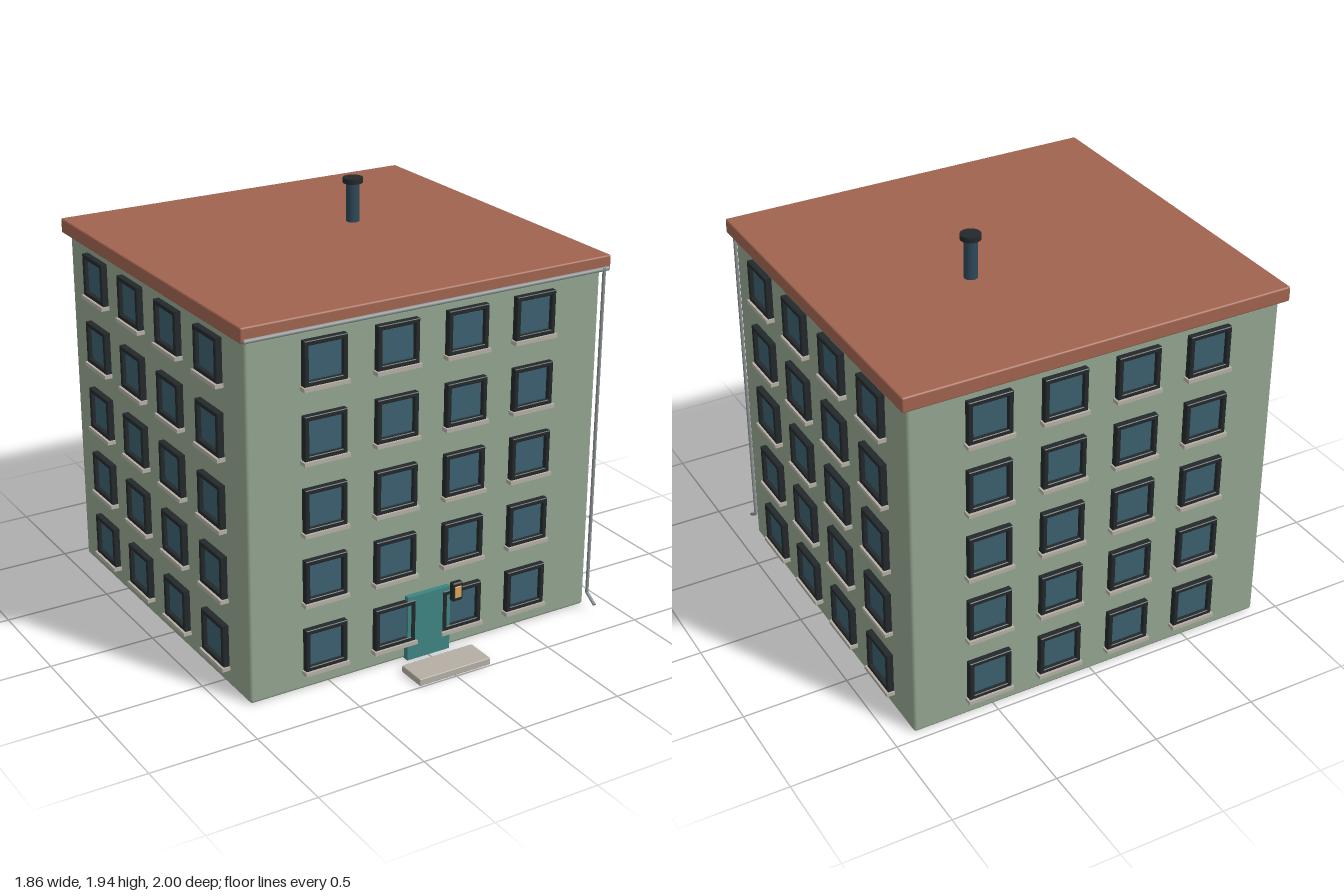
import * as THREE from 'three';
import { RoundedBoxGeometry } from 'three/addons/geometries/RoundedBoxGeometry.js';

const mat = (color, extra = {}) => new THREE.MeshStandardMaterial({ color, ...extra });
const M = {
  wall: mat(0x93a58f),
  roof: mat(0xa0634f),
  frame: mat(0x23282a),
  glass: mat(0x3b5f6e),
  sill: mat(0xb4aea4),
  door: mat(0x3d8482),
  chimney: mat(0x2f4858),
  pipe: mat(0x8c9292),
  lamp: mat(0xd8a55a),
};

function add(parent, name, geometry, material, x = 0, y = 0, z = 0) {
  const mesh = new THREE.Mesh(geometry, material);
  mesh.name = name;
  mesh.position.set(x, y, z);
  parent.add(mesh);
  return mesh;
}

const rect = (target, w, h) => {
  target.moveTo(-w, -h);
  target.lineTo(w, -h);
  target.lineTo(w, h);
  target.lineTo(-w, h);
  target.closePath();
  return target;
};

// Square window ring with slightly bevelled edges, back on z = 0
function frameGeometry() {
  const shape = rect(new THREE.Shape(), 0.1, 0.097);
  shape.holes.push(rect(new THREE.Path(), 0.085, 0.082));
  return new THREE.ExtrudeGeometry(shape, {
    depth: 0.027, bevelEnabled: true, bevelThickness: 0.003, bevelSize: 0.003, bevelSegments: 1,
  });
}

export function createModel() {
  const model = new THREE.Group();
  model.name = 'apartmentBlock';

  // Wall planes of the building
  const halfX = 0.893, front = 0.747, back = -0.957;
  const midZ = (front + back) / 2, depth = front - back;

  add(model, 'walls', new RoundedBoxGeometry(halfX * 2, 1.66, depth, 3, 0.015), M.wall, 0, 0.83, midZ);
  add(model, 'roof', new RoundedBoxGeometry(1.85, 0.07, 1.766, 2, 0.008), M.roof, 0, 1.697, midZ);

  // One window: frame, recessed pane with raised centre, sill
  const frameGeo = frameGeometry();
  const paneGeo = new THREE.BoxGeometry(0.175, 0.17, 0.01);
  const glassGeo = new RoundedBoxGeometry(0.156, 0.151, 0.012, 1, 0.003);
  const sillGeo = new THREE.BoxGeometry(0.222, 0.018, 0.04);
  function makeWindow(x, y) {
    const win = new THREE.Group();
    win.name = 'window';
    win.position.set(x, y, 0);
    add(win, 'windowFrame', frameGeo, M.frame);
    add(win, 'windowPane', paneGeo, M.glass, 0, 0, 0.005);
    add(win, 'windowGlass', glassGeo, M.glass, 0, 0, 0.008);
    add(win, 'windowSill', sillGeo, M.sill, 0, -0.109, 0.019);
    return win;
  }

  // Five floors of four windows on each facade
  const facades = [
    ['frontWindows', 0, 0, front, 0.353],
    ['backWindows', Math.PI, 0, back, 0.353],
    ['leftWindows', Math.PI / 2, halfX, midZ, 0.371],
    ['rightWindows', -Math.PI / 2, -halfX, midZ, 0.371],
  ];
  for (const [name, turn, x, z, spacing] of facades) {
    const facade = new THREE.Group();
    facade.name = name;
    facade.position.set(x, 0, z);
    facade.rotation.y = turn;
    for (let floor = 0; floor < 5; floor++)
      for (let col = 0; col < 4; col++)
        facade.add(makeWindow((col - 1.5) * spacing, 0.195 + floor * 0.331));
    model.add(facade);
  }

  // Entrance: door, detached step and lamp
  add(model, 'door', new THREE.BoxGeometry(0.225, 0.315, 0.03), M.door, 0, 0.1575, 0.759);
  add(model, 'doorStep', new RoundedBoxGeometry(0.374, 0.033, 0.147, 1, 0.004), M.sill, 0, 0.0165, 0.918);
  const lamp = new THREE.Group();
  lamp.name = 'entranceLamp';
  lamp.position.set(0, 0.415, 0.98);
  add(lamp, 'lampHousing', new RoundedBoxGeometry(0.054, 0.09, 0.03, 2, 0.009), M.frame);
  add(lamp, 'lampGlass', new RoundedBoxGeometry(0.034, 0.055, 0.012, 1, 0.003), M.lamp, 0, 0, 0.013);
  model.add(lamp);

  // Chimney pipe with cap
  add(model, 'chimney', new THREE.CylinderGeometry(0.031, 0.031, 0.21, 24), M.chimney, 0.22, 1.82, -0.25);
  add(model, 'chimneyCap', new THREE.CylinderGeometry(0.047, 0.047, 0.024, 24), M.frame, 0.22, 1.928, -0.25);

  // Gutter along the front eave and the downpipe with its kicked-out foot
  const gutter = add(model, 'gutter', new THREE.CylinderGeometry(0.01, 0.01, 1.825, 12), M.pipe, 0, 1.672, 0.778);
  gutter.rotation.z = Math.PI / 2;
  const downpipe = new THREE.CurvePath();
  const points = [[1.68, 0.784], [0.08, 0.784], [0.04, 0.845]].map(([y, z]) => new THREE.Vector3(0.884, y, z));
  for (let i = 0; i < 2; i++) {
    const a = points[i], b = points[i + 1];
    const pipe = add(model, i ? 'downpipeFoot' : 'downpipe',
      new THREE.CylinderGeometry(0.008, 0.008, a.distanceTo(b), 12), M.pipe);
    pipe.position.copy(a).lerp(b, 0.5);
    pipe.quaternion.setFromUnitVectors(new THREE.Vector3(0, 1, 0), a.clone().sub(b).normalize());
  }
  add(model, 'downpipeElbow', new THREE.SphereGeometry(0.008, 12, 8), M.pipe, 0.884, 0.08, 0.784);

  return model;
}
